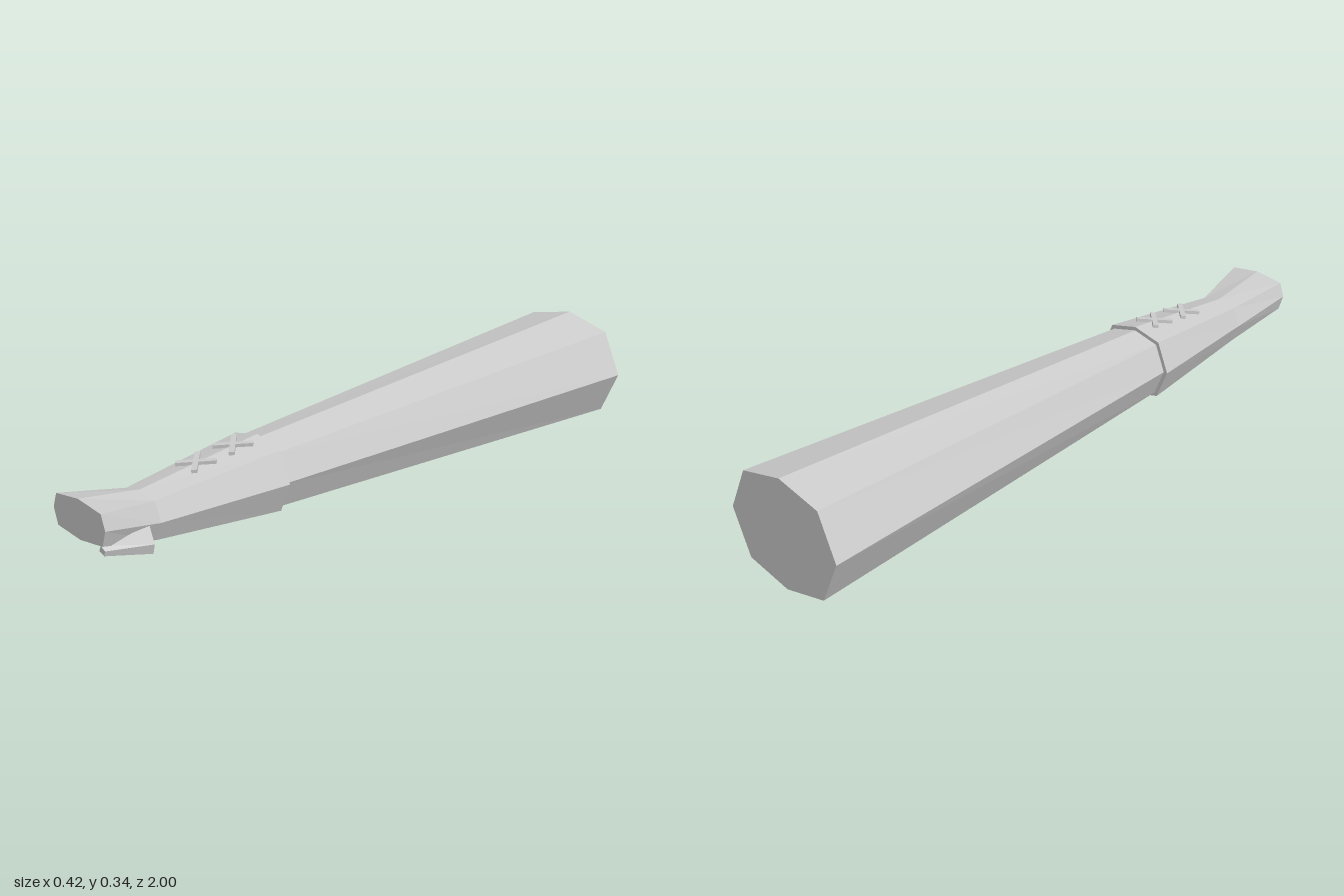
import * as THREE from 'three';

const material = new THREE.MeshStandardMaterial({ color: 0xcccccc, flatShading: true });

// Skin equal-length rings (counter-clockwise seen from +z, ordered back to front) and cap the ends
function loft(name, rings, capBack = true, capFront = true) {
  const pos = [];
  const tri = (...points) => points.forEach((p) => pos.push(...p));
  const n = rings[0].length;
  for (let r = 0; r < rings.length - 1; r++) {
    const a = rings[r], b = rings[r + 1];
    for (let i = 0; i < n; i++) {
      const j = (i + 1) % n;
      tri(a[i], a[j], b[j]);
      tri(a[i], b[j], b[i]);
    }
  }
  const first = rings[0], last = rings[rings.length - 1];
  for (let i = 1; i < n - 1; i++) {
    if (capBack) tri(first[0], first[i + 1], first[i]);
    if (capFront) tri(last[0], last[i], last[i + 1]);
  }
  const geometry = new THREE.BufferGeometry();
  geometry.setAttribute('position', new THREE.Float32BufferAttribute(pos, 3));
  geometry.computeVertexNormals();
  const mesh = new THREE.Mesh(geometry, material);
  mesh.name = name;
  return mesh;
}

// Mirrored octagon: side half width w, corner half width c, heights from top to bottom
function octagon(z, w, c, [top, high, mid, low, bottom]) {
  return [
    [0, top, z], [-c, high, z], [-w, mid, z], [-c, low, z],
    [0, bottom, z], [c, low, z], [w, mid, z], [c, high, z],
  ];
}

export function createModel() {
  const model = new THREE.Group();
  model.name = 'arm';

  // Tapering sleeve, its front end tucked into the cuff
  const shoulder = octagon(-1, 0.212, 0.15, [0.34, 0.305, 0.171, 0.037, 0.003]);
  const elbow = octagon(0.4, 0.118, 0.084, [0.283, 0.262, 0.181, 0.1, 0.08]);
  model.add(loft('sleeve', [shoulder, elbow]));

  // Cuff narrowing to the wrist
  const cuffEdge = octagon(0.385, 0.132, 0.094, [0.295, 0.272, 0.181, 0.09, 0.067]);
  const wrist = octagon(0.8, 0.083, 0.06, [0.254, 0.24, 0.183, 0.126, 0.11]);
  model.add(loft('cuff', [cuffEdge, wrist], true, false));

  // Flaring hand stump
  const knuckles = octagon(1, 0.11, 0.095, [0.289, 0.276, 0.232, 0.185, 0.173]);
  model.add(loft('hand', [wrist, knuckles], false, true));

  // Wedge-shaped thumb on the left side
  const thumbBase = [[0.098, 0.196, 0.85], [0.086, 0.15, 0.87], [0.148, 0.143, 0.88], [0.155, 0.172, 0.88]];
  const thumbTip = [[0.073, 0.178, 0.99], [0.066, 0.16, 0.99], [0.086, 0.152, 0.99], [0.09, 0.167, 0.99]];
  model.add(loft('thumb', [thumbBase, thumbTip]));

  // Two crossed laces lying on the sloping cuff top
  [[0.475, 0.288], [0.608, 0.275]].forEach(([z, y]) => {
    const cross = new THREE.Group();
    cross.name = 'crossedLace';
    for (const side of [-1, 1]) {
      const bar = new THREE.Mesh(new THREE.BoxGeometry(0.112, 0.01, 0.016), material);
      bar.name = 'lace';
      bar.rotation.y = side * Math.PI / 4;
      cross.add(bar);
    }
    cross.position.set(0, y, z);
    cross.rotation.x = 0.1;
    model.add(cross);
  });

  return model;
}
